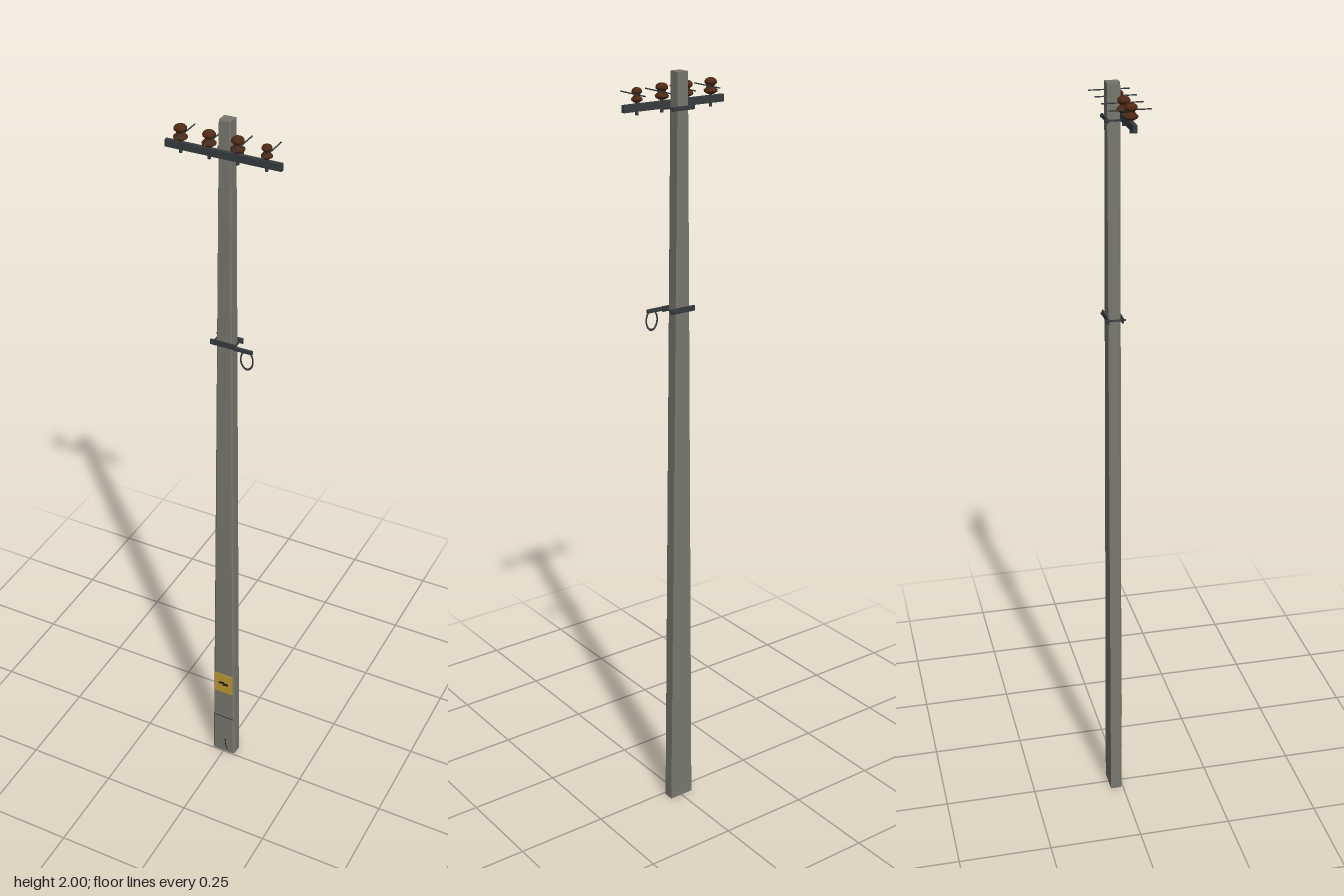
import * as THREE from 'three';

const mat = (name, color, side = THREE.FrontSide) => {
  const m = new THREE.MeshStandardMaterial({ color, side });
  m.name = name;
  return m;
};

export function createModel() {
  const concrete = mat('concrete', 0x78776e);
  const steel = mat('darkSteel', 0x373c40);
  const ceramic = mat('brownCeramic', 0x4e2a14);
  const yellow = mat('signYellow', 0xbe9a32);
  const black = mat('black', 0x1c1c1a, THREE.DoubleSide);
  const model = new THREE.Group();
  model.name = 'utilityPole';

  const add = (name, geometry, material, x = 0, y = 0, z = 0, parent = model) => {
    const mesh = new THREE.Mesh(geometry, material);
    mesh.name = name;
    mesh.position.set(x, y, z);
    parent.add(mesh);
    return mesh;
  };
  const box = (name, w, h, d, material, x, y, z, parent) =>
    add(name, new THREE.BoxGeometry(w, h, d), material, x, y, z, parent);
  const rodZ = (name, r, length, material, x, y, z, parent) =>
    add(name, new THREE.CylinderGeometry(r, r, length, 8).rotateX(Math.PI / 2), material, x, y, z, parent);

  // Tapered concrete pole with chamfered front edges
  const halfWidth = (y) => 0.035 - 0.01 * y;
  const FRONT = -0.003, BACK = -0.035;
  const section = new THREE.Shape([
    [-0.03, -FRONT], [0.03, -FRONT], [0.035, 0.007], [0.035, -BACK], [-0.035, -BACK], [-0.035, 0.007],
  ].map(([x, y]) => new THREE.Vector2(x, y)));
  const pole = new THREE.ExtrudeGeometry(section, { depth: 2, bevelEnabled: false }).rotateX(-Math.PI / 2);
  const p = pole.attributes.position;
  for (let i = 0; i < p.count; i++) p.setX(i, p.getX(i) * halfWidth(p.getY(i)) / 0.035);
  pole.computeVertexNormals();
  add('pole', pole, concrete);

  // Ground line mark and crack near the foot
  box('groundLine', 0.06, 0.002, 0.001, black, 0, 0.14, FRONT);
  const crack = new THREE.Shape([
    [0.003, 0.05], [0.006, 0.048], [0.007, 0.03], [0.014, 0.01], [0.01, 0.012], [0.004, 0.03],
  ].map(([x, y]) => new THREE.Vector2(x, y)));
  add('crack', new THREE.ShapeGeometry(crack), black, 0, 0, FRONT + 0.0006);

  // Warning plate with a jagged bolt
  box('warningPlate', 0.055, 0.07, 0.002, yellow, 0, 0.275, FRONT + 0.001);
  const bolt = new THREE.Shape([
    [-0.016, 0.004], [0.002, 0.008], [0.001, 0.003], [0.015, 0.004], [0.014, -0.005],
    [-0.004, -0.008], [-0.002, -0.002], [-0.015, -0.003],
  ].map(([x, y]) => new THREE.Vector2(x, y)));
  add('warningMark', new THREE.ShapeGeometry(bolt), black, 0, 0.275, FRONT + 0.0026);

  // Clamps: front and back straps, joined by bolts on both sides
  const clamp = (name, y, half, height) => {
    const g = new THREE.Group();
    g.name = name;
    model.add(g);
    box('frontStrap', half * 2, height, 0.004, steel, 0, y, -0.001, g);
    box('backStrap', half * 2, height, 0.004, steel, 0, y, BACK - 0.002, g);
    for (const s of [-1, 1]) {
      rodZ('clampBolt', 0.0025, 0.05, steel, s * (half - 0.007), y, -0.018, g);
      rodZ('clampNut', 0.0045, 0.003, steel, s * (half - 0.007), y, BACK - 0.0055, g);
    }
  };
  clamp('crossarmClamp', 1.915, 0.033, 0.01);
  clamp('hookClamp', 1.42, 0.036, 0.014);

  // Crossarm
  box('crossarm', 0.294, 0.018, 0.01, steel, 0, 1.922, 0.001);

  // Side bracket with a hanging oval ring
  box('ringBracket', 0.05, 0.009, 0.007, steel, 0.055, 1.42, 0.003);
  const ring = add('hangingRing', new THREE.TorusGeometry(0.0165, 0.002, 8, 28), steel, 0.066, 1.396, 0.004);
  ring.scale.y = 1.55;

  // Insulators, each with a pin and a short wire tied beside its neck
  const profile = [
    [0, 0.004], [0.009, 0.004], [0.0165, 0.009], [0.017, 0.013], [0.012, 0.018], [0.009, 0.022],
    [0.01, 0.025], [0.015, 0.029], [0.0155, 0.034], [0.012, 0.039], [0.006, 0.042], [0, 0.043],
  ].map(([x, y]) => new THREE.Vector2(x, y));
  [-0.109, -0.036, 0.036, 0.108].forEach((x, i) => {
    const g = new THREE.Group();
    g.name = 'insulator' + (i + 1);
    g.position.set(x, 1.931, 0);
    model.add(g);
    const body = add('insulatorBody', new THREE.LatheGeometry(profile, 16), ceramic, 0, 0, 0, g);
    if (i === 3) body.scale.set(0.8, 0.9, 0.8);
    add('insulatorPin', new THREE.CylinderGeometry(0.004, 0.004, 0.034, 8), steel, 0, -0.01, 0, g);
    rodZ('wire', 0.0016, 0.102, steel, 0.011, 0.024, 0, g);
  });

  return model;
}
